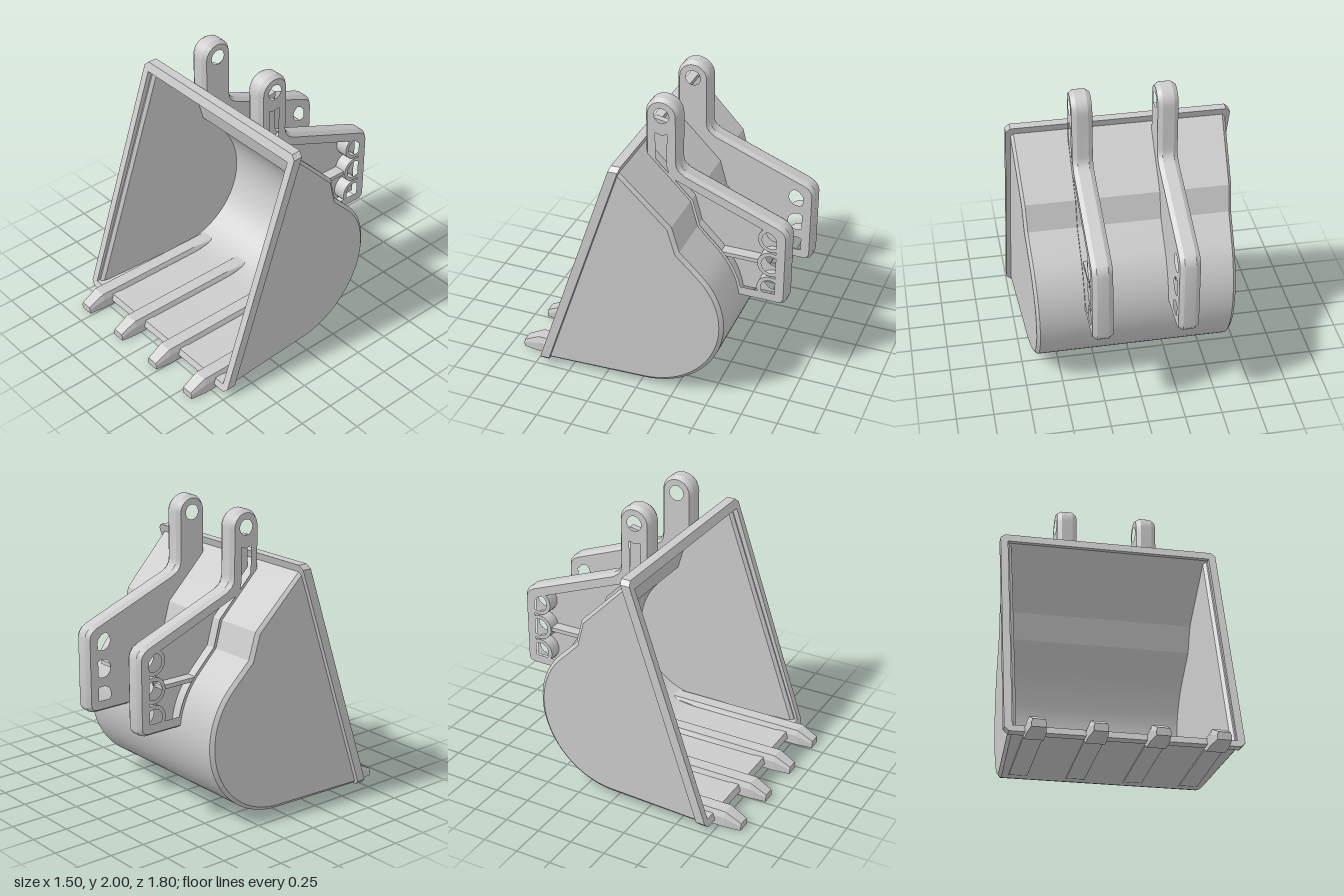
import * as THREE from 'three';
import { toCreasedNormals } from 'three/addons/utils/BufferGeometryUtils.js';

const material = new THREE.MeshStandardMaterial({ color: 0xcccccc });

// Arc points as [z, y], angles in degrees (0 = front, 90 = up)
function arc(cz, cy, r, from, to, n) {
  return Array.from({ length: n + 1 }, (_, i) => {
    const a = THREE.MathUtils.degToRad(from + ((to - from) * i) / n);
    return [cz + r * Math.cos(a), cy + r * Math.sin(a)];
  });
}

// Back of the bucket, moved inwards by off, from a start angle on the curve up to the top plate
function backCurve(off, from, n) {
  return [
    ...arc(-0.03, 0.59, 0.55 - off, from, 135, n),
    [-0.28 + 0.85 * off, 1.12 - 0.55 * off],
    [-0.23 + 0.9 * off, 1.3 - 0.45 * off],
  ];
}
const bucketProfile = (off) => [
  [0.7, 0.04 + off],
  ...backCurve(off, 270, 30),
  [0.13 + 0.7 * off, 1.66 - 0.7 * off],
];

// Extrudes a [z, y] outline across x, centred on x = 0
function sideExtrude(points, width, { holes = [], bevel = 0, bevelX = 0 } = {}) {
  const flip = (list) => list.map(([z, y]) => new THREE.Vector2(-z, y));
  const shape = new THREE.Shape(flip(points));
  holes.forEach((h) => shape.holes.push(new THREE.Path(flip(h))));
  const depth = width - 2 * bevelX;
  const geo = new THREE.ExtrudeGeometry(shape, {
    depth, steps: 1, bevelEnabled: bevel > 0, bevelSize: bevel,
    bevelOffset: -bevel, bevelThickness: bevelX, bevelSegments: 1,
  });
  geo.translate(0, 0, -depth / 2);
  return geo.rotateY(Math.PI / 2);
}

// Moves each vertex by a rule
function deform(geo, rule) {
  const p = geo.attributes.position;
  const v = new THREE.Vector3();
  for (let i = 0; i < p.count; i++) {
    rule(v.fromBufferAttribute(p, i));
    p.setXYZ(i, v.x, v.y, v.z);
  }
  geo.computeVertexNormals();
  return geo;
}

// The opening leans back; the bucket narrows with depth behind it
const openingZ = (y) => 0.735 - 0.342 * y;
const taper = (v) => 0.047 * Math.max(0, openingZ(v.y) - v.z);

function add(parent, name, geo, x = 0, y = 0, z = 0) {
  const mesh = new THREE.Mesh(geo, material);
  mesh.name = name;
  mesh.position.set(x, y, z);
  parent.add(mesh);
  return mesh;
}
const smooth = (geo) => toCreasedNormals(geo, 0.45);

// Tooth and its long floor rib: six-sided sections [z, bottom, middle, top, half width, half top width]
function toothGeometry() {
  const sections = [
    [-0.22, 0.085, 0.1, 0.11, 0.06, 0.045],
    [-0.03, 0.03, 0.08, 0.11, 0.06, 0.045],
    [0.65, 0.03, 0.07, 0.11, 0.06, 0.045],
    [0.69, 0, 0.07, 0.11, 0.06, 0.045],
    [0.79, 0, 0.07, 0.11, 0.06, 0.045],
    [0.905, 0, 0.03, 0.05, 0.045, 0.038],
  ];
  const pos = [];
  const index = [];
  for (const [z, y0, ym, yt, w, t] of sections)
    pos.push(w, y0, z, w, ym, z, t, yt, z, -t, yt, z, -w, ym, z, -w, y0, z);
  const last = (sections.length - 1) * 6;
  for (let s = 0; s < last; s += 6)
    for (let k = 0; k < 6; k++) {
      const n = (k + 1) % 6;
      index.push(s + k, s + n, s + 6 + n, s + k, s + 6 + n, s + 6 + k);
    }
  for (let k = 1; k < 5; k++) index.push(last, last + k, last + k + 1, 0, k + 1, k);
  const geo = new THREE.BufferGeometry();
  geo.setAttribute('position', new THREE.Float32BufferAttribute(pos, 3));
  geo.setIndex(index);
  const flat = geo.toNonIndexed();
  flat.computeVertexNormals();
  return flat;
}

// Opening frame with clipped corners, sheared to the lean of the opening
function rimGeometry() {
  const [w, b, t, c] = [0.75, 0.035, 1.69, 0.03];
  const pts = (list) => list.map(([x, y]) => new THREE.Vector2(x, y));
  const shape = new THREE.Shape(pts([
    [-w + c, b], [w - c, b], [w, b + c], [w, t - c], [w - c, t], [-w + c, t], [-w, t - c], [-w, b + c],
  ]));
  shape.holes.push(new THREE.Path(pts([[-0.7, 0.08], [-0.7, 1.63], [0.7, 1.63], [0.7, 0.08]])));
  const geo = new THREE.ExtrudeGeometry(shape, { depth: 0.065, bevelEnabled: false });
  return deform(geo, (v) => { v.z += openingZ(v.y) - 0.065; });
}

const pinZ = -0.785;
const pinYs = [1.13, 0.942, 0.755];

// Mounting bracket: framed wall, thin web on the inner side, bosses and ribs
function makeBracket(side) {
  const bracket = new THREE.Group();
  bracket.name = side > 0 ? 'leftBracket' : 'rightBracket';
  bracket.position.x = side * 0.28;
  const width = 0.135;

  const outline = [
    ...arc(-0.03, 1.885, 0.115, 0, 180, 20),
    [-0.145, 1.57], [-0.15, 1.54], [-0.165, 1.515], [-0.2, 1.49],
    [-0.83, 1.245], [-0.865, 1.225], [-0.89, 1.195], [-0.9, 1.16],
    [-0.9, 0.7], [-0.895, 0.675], [-0.875, 0.65], [-0.84, 0.64],
    ...backCurve(0.02, 174.6, 10),
    [0.085, 1.587],
  ];
  const recess = (g) => [
    [0.03 + g, 1.78 + g], [-0.03, 1.765 + g], [-0.085 - g, 1.78 + g],
    [-0.085 - g, 1.53], [-0.105 - g, 1.465 + g], [-0.8 - g, 1.192 + g * 0.7], [-0.84 - g, 1.15],
    [-0.84 - g, 0.7 - g],
    ...backCurve(g, 168.5 + 100 * g, 10),
    [0.03 + g, 1.56 - 0.41 * g],
  ];
  const hole = (y, r) => arc(pinZ, y, r, 0, 345, 23);

  add(bracket, 'bracketFrame', smooth(sideExtrude(outline, width, {
    holes: [recess(0), arc(-0.03, 1.885, 0.072, 0, 345, 23)], bevel: 0.02, bevelX: 0.03,
  })));
  add(bracket, 'bracketWeb', smooth(sideExtrude(recess(0.03), 0.045, {
    holes: pinYs.map((y) => hole(y, 0.063)),
  })), -side * (width - 0.045) / 2);

  // Pin bosses
  const ring = smooth(sideExtrude(arc(0, 0, 0.09, 0, 345, 23), width, {
    holes: [arc(0, 0, 0.063, 0, 345, 23)],
  }));
  for (const y of pinYs) add(bracket, 'pinBoss', ring, 0, y, pinZ);
  add(bracket, 'topPinBoss', ring, 0, 1.885, -0.03);

  // Stiffening ribs
  add(bracket, 'middleRib', new THREE.BoxGeometry(0.11, 0.028, 0.27), 0, 0.942, -0.575);
  add(bracket, 'neckRib', new THREE.BoxGeometry(0.11, 0.025, 0.08), 0, 1.45, -0.12).rotation.x = Math.PI / 4;
  return bracket;
}

export function createModel() {
  const model = new THREE.Group();
  model.name = 'excavatorBucket';

  // Curved shell
  const band = [...bucketProfile(0), ...bucketProfile(0.035).reverse()];
  add(model, 'bucketShell', smooth(deform(sideExtrude(band, 1.4), (v) => {
    v.x -= Math.sign(v.x) * taper(v);
  })));

  // Side walls with chamfered edges
  for (const side of [1, -1]) {
    const wall = sideExtrude(bucketProfile(0), 0.05, { bevel: 0.025, bevelX: 0.02 });
    add(model, side > 0 ? 'leftWall' : 'rightWall', smooth(deform(wall, (v) => {
      v.x += side * (0.697 - taper(v));
    })));
    model.add(makeBracket(side));
  }

  add(model, 'openingRim', rimGeometry());

  // Teeth
  const tooth = toothGeometry();
  for (const x of [-0.565, -0.19, 0.19, 0.565]) add(model, 'tooth', tooth, x);

  return model;
}
